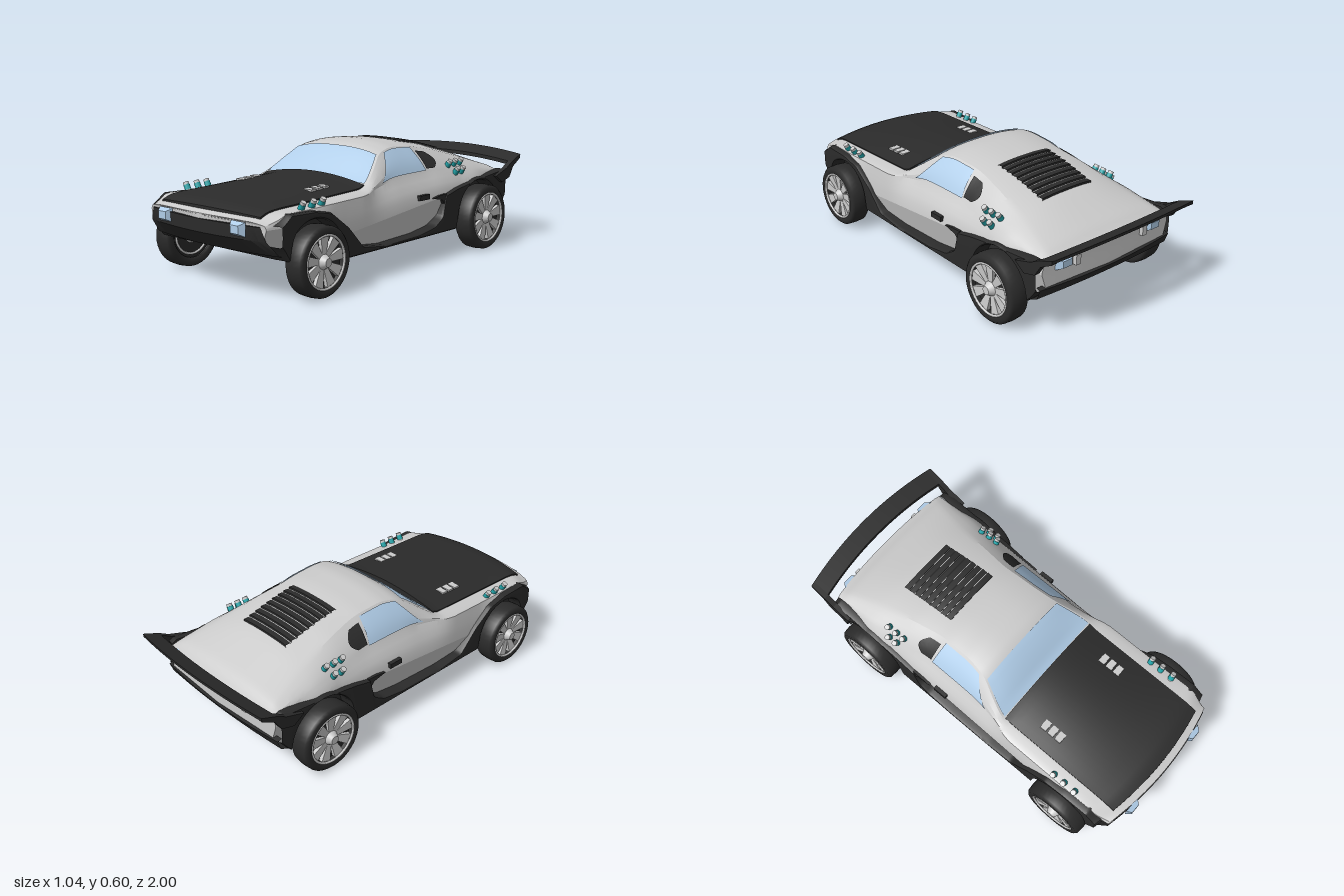
import * as THREE from 'three';
import { toCreasedNormals } from 'three/addons/utils/BufferGeometryUtils.js';

const paint = (color) => new THREE.MeshStandardMaterial({ color, side: THREE.DoubleSide });
const SILVER = paint(0xcccccc), BLACK = paint(0x2b2b2b), GLASS = paint(0xb0cde8),
  TEAL = paint(0x22a3a8), TAN = paint(0x7a6c48), BLUE = paint(0x0c3f96);
const { lerp, smoothstep } = THREE.MathUtils;

// Piecewise-linear table lookup; keys run from front (+z) to back
function look(t, z) {
  if (z >= t[0][0]) return t[0][1];
  for (let i = 1; i < t.length; i++) {
    const [z0, a] = t[i - 1], [z1, b] = t[i];
    if (z >= z1) return lerp(a, b, (z - z0) / (z1 - z0));
  }
  return t[t.length - 1][1];
}
const soft = (t, z) => (look(t, z - 0.025) + look(t, z) + look(t, z + 0.025)) / 3;

const TOP = [[0.98, 0.362], [0.95, 0.376], [0.9, 0.394], [0.8, 0.4], [0.7, 0.402], [0.3, 0.417], [0.22, 0.43], [0.13, 0.525],
  [0.05, 0.585], [-0.05, 0.602], [-0.2, 0.594], [-0.4, 0.56], [-0.6, 0.508], [-0.82, 0.425], [-0.86, 0.395]];
const ROOF_X = [[0.97, 0.3], [0.8, 0.32], [0.22, 0.335], [0.13, 0.3], [0.05, 0.262], [-0.05, 0.245], [-0.25, 0.24], [-0.6, 0.29], [-0.86, 0.35]];
const ROOF_Y = [[0.98, 0.357], [0.95, 0.37], [0.9, 0.388], [0.8, 0.395], [0.7, 0.397], [0.25, 0.412], [0.13, 0.495], [0.05, 0.555],
  [-0.05, 0.575], [-0.2, 0.567], [-0.4, 0.528], [-0.6, 0.472], [-0.82, 0.405], [-0.86, 0.385]];
const BELT_X = [[0.98, 0.37], [0.9, 0.395], [0.3, 0.395], [0.18, 0.36], [0.1, 0.35], [-0.25, 0.35], [-0.6, 0.385], [-0.86, 0.39]];
const BELT_Y = [[0.98, 0.345], [0.95, 0.355], [0.84, 0.388], [0.7, 0.386], [0.3, 0.395], [0.05, 0.428], [-0.3, 0.432], [-0.6, 0.415], [-0.86, 0.37]];
const SIDE_X = [[0.98, 0.38], [0.85, 0.408], [0.5, 0.41], [-0.6, 0.412], [-0.86, 0.4]];
const CREASE_Y = [[0.8, 0.33], [0.45, 0.24], [-0.25, 0.31], [-0.86, 0.33]];
const LOW = [[0.97, 0.28], [0.88, 0.2], [0.8, 0.132], [-0.72, 0.132], [-0.77, 0.17], [-0.87, 0.26]];
const FLOOR = [[0.97, 0.28], [0.9, 0.21], [0.52, 0.2], [0.42, 0.134], [-0.3, 0.134], [-0.42, 0.2], [-0.7, 0.2], [-0.77, 0.182], [-0.87, 0.26]];
const WHEELS = [{ z: 0.678, r: 0.164 }, { z: -0.588, r: 0.172 }];

// Lower body edge with the wheel arches cut in
const lowEdge = (z) => WHEELS.reduce((y, w) => {
  const d = (w.r + 0.02) ** 2 - (z - w.z) ** 2;
  return d > 0 ? Math.max(y, w.r + Math.sqrt(d)) : y;
}, look(LOW, z));
// Rounds nose and tail in plan
const bow = (x, z) => z - Math.sign(z) * 0.05 * smoothstep(Math.abs(z), 0.78, 0.97) * (x / 0.4) ** 2;

// Half section: u 0-1 roof, 1-2 window side, 2-3 shoulder, 3-4 lower flank
function skin(z, u, lift = 0) {
  const s = Math.sign(u) || 1, a = Math.abs(u), rx = soft(ROOF_X, z), ry = soft(ROOF_Y, z),
    bx = soft(BELT_X, z), by = soft(BELT_Y, z), w = soft(SIDE_X, z);
  let x, y;
  if (a <= 1) { x = rx * a; y = lerp(soft(TOP, z), ry, a ** 2.6); }
  else if (a <= 2) { x = lerp(rx, bx, a - 1) + 0.012 * Math.sin(Math.PI * (a - 1)); y = lerp(ry, by, a - 1); }
  else {
    const low = lowEdge(z), mid = Math.max(low, Math.min(look(CREASE_Y, z), by));
    x = a <= 3 ? lerp(bx, w, Math.sin((a - 2) * Math.PI / 2)) : w - 0.3 * (a - 3) * (mid - low);
    y = a <= 3 ? lerp(by, mid, a - 2) : lerp(mid, low, a - 3);
  }
  return [s * (x + (a > 1 ? lift : 0)), y + lift, bow(x, z)];
}

// Surface from f(i, j); i counts rows, j columns
function grid(rows, cols, f, crease = 0.6) {
  const pos = [], idx = [], n = cols + 1;
  for (let i = 0; i <= rows; i++) for (let j = 0; j <= cols; j++) pos.push(...f(i, j));
  for (let i = 0; i < rows; i++) for (let j = 0; j < cols; j++) {
    const a = i * n + j;
    idx.push(a, a + 1, a + n, a + 1, a + n + 1, a + n);
  }
  const g = new THREE.BufferGeometry();
  g.setAttribute('position', new THREE.Float32BufferAttribute(pos, 3));
  g.setIndex(idx);
  return toCreasedNormals(g, crease);
}

export function createModel() {
  const car = new THREE.Group();
  const add = (name, geo, mat, parent = car) => {
    const m = new THREE.Mesh(geo, mat);
    m.name = name;
    parent.add(m);
    return m;
  };
  const pair = (name, geo, mat) => [1, -1].forEach((s) => { add(name, geo, mat).scale.x = s; });
  const box = (w, h, d, x, y, z) => new THREE.BoxGeometry(w, h, d).translate(x, y, z);

  // Body shell, closed at nose and tail by collapsing the last rows to the centre
  const half = [0, 0.17, 0.34, 0.5, 0.67, 0.83, 0.93, 1, 1.12, 1.33, 1.67, 1.9, 2, 2.2, 2.45, 2.7, 3, 3.5, 4];
  const us = [...half.slice(1).reverse().map((u) => -u), ...half];
  const N = 110, zAt = (i) => lerp(0.98, -0.87, i / N);
  add('bodyShell', grid(N + 2, us.length - 1, (i, j) => {
    const z = zAt(Math.min(N, Math.max(0, i - 1))), p = skin(z, us[j]);
    return i === 0 || i === N + 2 ? [0, p[1], z] : p;
  }, 0.28), SILVER);

  // Floor with wheel wells
  add('floor', grid(N, 5, (i, j) => {
    const z = zAt(i), side = j < 3 ? 1 : -1, k = j < 3 ? j : 5 - j;
    const edge = skin(z, 4), x = k ? 0.345 : edge[0];
    return [side * x, k < 2 ? edge[1] : Math.min(edge[1], look(FLOOR, z)), bow(x, z)];
  }), BLACK);

  // Black side cladding: fenders joined by a sill
  const CLAD = [[0.94, 0.345], [0.84, 0.388], [0.68, 0.383], [0.57, 0.36], [0.46, 0.28], [0.355, 0.17], [0.2, 0.15], [-0.07, 0.155],
    [-0.2, 0.175], [-0.265, 0.215], [-0.28, 0.245], [-0.284, 0.32], [-0.39, 0.345], [-0.555, 0.37], [-0.82, 0.398], [-0.86, 0.385]];
  pair('sideCladding', grid(140, 6, (i, j) => {
    const z = lerp(0.94, -0.86, i / 140), lo = lowEdge(z), hi = Math.max(look(CLAD, z), lo + 0.015);
    const inner = 0.385 - 0.04 * smoothstep(0.3 - hi, 0, 0.12);
    const x = [inner, 0.415, 0.428, 0.43, 0.428, 0.42, 0.345][j];
    const y = [hi, hi, hi - 0.006, (hi + lo) / 2, lo + 0.006, lo, lo][j];
    return [x, y, bow(x, z)];
  }), BLACK);
  // Pointed tip of the rear fender cladding reaching into the door
  const tip = new THREE.Shape([[-0.29, 0.27], [-0.265, 0.3], [-0.19, 0.316], [-0.24, 0.325], [-0.3, 0.328]].map(([z, y]) => new THREE.Vector2(z, y)));
  pair('claddingTip', new THREE.ExtrudeGeometry(tip, { depth: 0.02, bevelEnabled: false }).rotateY(-Math.PI / 2).translate(0.422, 0, 0), BLACK);

  // Bumper bands across nose and tail; each profile point is y, z, half width
  const band = (name, profile, dir) => add(name, grid(profile.length - 1, 20, (i, j) => {
    const [y, z, w] = profile[i], x = dir * lerp(w, -w, j / 20);
    return [x, y, bow(x, z)];
  }), BLACK);
  band('frontBumper', [[0.343, 0.94, 0.355], [0.342, 0.983, 0.355], [0.28, 0.98, 0.38], [0.21, 0.92, 0.405], [0.2, 0.84, 0.41]], 1);
  band('rearValance', [[0.265, -0.84, 0.415], [0.26, -0.882, 0.415], [0.21, -0.85, 0.415], [0.18, -0.77, 0.415]], -1);

  // Raised bonnet with a turned-down rim
  const CREST = [[0.945, 0.391], [0.9, 0.41], [0.7, 0.428], [0.5, 0.448], [0.235, 0.466]];
  const bonnetY = (t, z) => lerp(soft(ROOF_Y, z) + 0.006, look(CREST, z), 1 - t * t);
  add('bonnet', grid(22, 18, (i, j) => {
    const t = lerp(-1, 1, Math.min(16, Math.max(0, j - 1)) / 16), z = lerp(0.945, 0.235, Math.min(20, Math.max(0, i - 1)) / 20);
    const rim = i === 0 || i === 22 || j === 0 || j === 18 ? 0.045 : 0, x = 0.325 * t;
    return [x, bonnetY(t, z) - rim, bow(x, z)];
  }), BLACK);
  for (const z of [0.41, 0.455, 0.5]) pair('bonnetVent', box(0.05, 0.02, 0.034, 0.225, bonnetY(0.69, z) - 0.005, z), SILVER);

  // Glass laid just above the shell
  add('windscreen', grid(10, 14, (i, j) => {
    const p = skin(lerp(0.225, 0.062, i / 10), lerp(-0.97, 0.97, j / 14), 0.005);
    return [p[0], p[1], p[2] + 0.004];
  }), GLASS);
  // Front and rear outlines give z from t, which runs from the top edge down
  const sideGlass = (name, mat, u0, u1, front, rear) => pair(name, grid(12, 10, (i, j) => {
    const t = j / 10;
    return skin(lerp(front(t), rear(t), i / 12), lerp(u0, u1, t), 0.004);
  }), mat);
  sideGlass('sideWindow', GLASS, 1.06, 1.9, (t) => lerp(0.02, 0.135, t), (t) => lerp(-0.205, -0.225, t));
  sideGlass('quarterWindow', BLACK, 1.18, 1.84, (t) => lerp(-0.226, -0.234, t), (t) => -0.265 - 0.065 * Math.sin(Math.PI * lerp(0.15, 0.85, t)));
  pair('doorHandle', box(0.02, 0.025, 0.075, 0.413, 0.332, -0.118), BLACK);

  // Roof louvres, each slat rising towards the back
  for (let k = 0; k < 9; k++) add('louvre', grid(3, 10, (i, j) => {
    const x = lerp(-0.155, 0.155, j / 10), z = -0.262 - k * 0.0355 - [0, 0, 0.029, 0.029][i];
    const p = skin(z, x / soft(ROOF_X, z));
    return [x, p[1] + [-0.01, 0.003, 0.01, -0.01][i], p[2]];
  }), BLACK);

  // Lamps: shallow four-sided frustums facing +z
  const lamp = (w, h, d) => new THREE.CylinderGeometry(0.4, Math.SQRT1_2, 1, 4).rotateY(Math.PI / 4).rotateX(Math.PI / 2).scale(w, h, d).toNonIndexed();
  const flat = (g) => { g.computeVertexNormals(); return g; };
  pair('headlight', flat(lamp(0.088, 0.064, 0.026).translate(0.24, 0.325, 0.975)), GLASS);
  pair('tailLamp', flat(lamp(0.095, 0.06, 0.03).rotateY(Math.PI).translate(0.28, 0.362, -0.866)), GLASS);
  pair('reverseLamp', box(0.028, 0.05, 0.03, 0.212, 0.355, -0.864), SILVER);

  // Rear wing on two side struts
  add('wing', grid(4, 24, (i, j) => {
    const t = lerp(-1, 1, j / 24), k = i % 4, s = t * t;
    return [0.445 * t, [0.455, 0.49, 0.474, 0.435][k] - 0.025 * s, [-0.912, -1.0, -0.998, -0.912][k] + 0.042 * s];
  }), BLACK);
  const strut = new THREE.Shape([[-0.72, 0.37], [-0.82, 0.402], [-0.872, 0.432], [-0.956, 0.465], [-0.955, 0.445], [-0.885, 0.405], [-0.85, 0.35], [-0.78, 0.33]]
    .map(([z, y]) => new THREE.Vector2(z, y)));
  pair('wingStrut', new THREE.ExtrudeGeometry(strut, { depth: 0.028, bevelEnabled: false }).rotateY(-Math.PI / 2).translate(0.447, 0, 0), BLACK);

  // Small teal-banded pegs on the fenders
  const peg = (x, y, z, tilt) => [1, -1].forEach((s) => {
    const g = new THREE.Group();
    g.name = 'fenderPeg';
    add('pegCore', new THREE.CylinderGeometry(0.014, 0.014, 0.052, 12), SILVER, g);
    add('pegBand', new THREE.CylinderGeometry(0.0155, 0.0155, 0.026, 12), TEAL, g);
    g.position.set(s * x, y, z);
    g.rotation.z = -s * tilt;
    car.add(g);
  });
  [0.59, 0.652, 0.718].forEach((z) => peg(0.38, 0.402, z, 0.5));
  [-0.41, -0.458, -0.508].forEach((z) => peg(0.35, 0.459, z, 0.6));
  [-0.436, -0.484].forEach((z) => peg(0.382, 0.422, z, 0.6));

  // Wheels, built facing +x
  const tyre = new THREE.LatheGeometry([[0.118, -0.042], [0.128, -0.052], [0.15, -0.052], [0.162, -0.04], [0.165, 0], [0.162, 0.04], [0.15, 0.052], [0.128, 0.052], [0.118, 0.042]]
    .map(([r, y]) => new THREE.Vector2(r, y)), 40).rotateZ(-Math.PI / 2);
  const disc = (r0, r1, d, x) => new THREE.CylinderGeometry(r0, r1, d, 28).rotateZ(-Math.PI / 2).translate(x, 0, 0);
  for (const w of WHEELS) for (const s of [1, -1]) {
    const g = new THREE.Group();
    g.name = w.z > 0 ? 'frontWheel' : 'rearWheel';
    add('tyre', tyre, BLACK, g);
    add('wheelBacking', disc(0.122, 0.122, 0.056, -0.005), BLACK, g);
    add('rimRing', new THREE.TorusGeometry(0.121, 0.006, 8, 40).rotateY(Math.PI / 2).translate(0.047, 0, 0), SILVER, g);
    add('innerRing', new THREE.TorusGeometry(0.1, 0.006, 8, 40).rotateY(Math.PI / 2).translate(-0.035, 0, 0), SILVER, g);
    add('innerHub', disc(0.05, 0.04, 0.03, -0.036), SILVER, g);
    add('hub', disc(0.02, 0.036, 0.03, 0.048), SILVER, g);
    for (let k = 0; k < 9; k++) {
      const spoke = new THREE.CylinderGeometry(0.036, 0.017, 0.086, 4).rotateY(Math.PI / 4).scale(0.6, 1, 1).translate(0, 0.072, 0);
      add('spoke', flat(spoke.toNonIndexed().rotateX(k * Math.PI * 2 / 9).translate(0.028, 0, 0)), SILVER, g);
    }
    g.scale.set(1, w.r / 0.165, w.r / 0.165);
    g.position.set(s * 0.438, w.r, w.z);
    if (s < 0) g.rotation.y = Math.PI;
    car.add(g);
  }

  // Drivetrain and underside details
  for (const w of WHEELS) add('axle', disc(0.018, 0.018, 0.8, 0).translate(0, 0.162, w.z), SILVER);
  const line = new THREE.CatmullRomCurve3([[0.162, 0.678], [0.128, 0.5], [0.122, 0.1], [0.122, -0.28], [0.162, -0.588]].map(([y, z]) => new THREE.Vector3(0, y, z)));
  add('driveShaft', new THREE.TubeGeometry(line, 40, 0.016, 12), SILVER);
  add('gearHousing', new THREE.CylinderGeometry(0.036, 0.036, 0.085, 8).rotateX(Math.PI / 2).translate(0, 0.118, -0.24), SILVER);
  pair('underPad', box(0.25, 0.014, 0.24, 0.18, 0.127, -0.1), TAN);
  pair('underStrip', box(0.03, 0.006, 0.62, 0.33, 0.132, 0.1), BLUE);

  // The car stands at a very slight angle
  car.rotation.y = -0.028;
  const model = new THREE.Group();
  model.name = 'sportsCar';
  model.add(car);
  return model;
}
